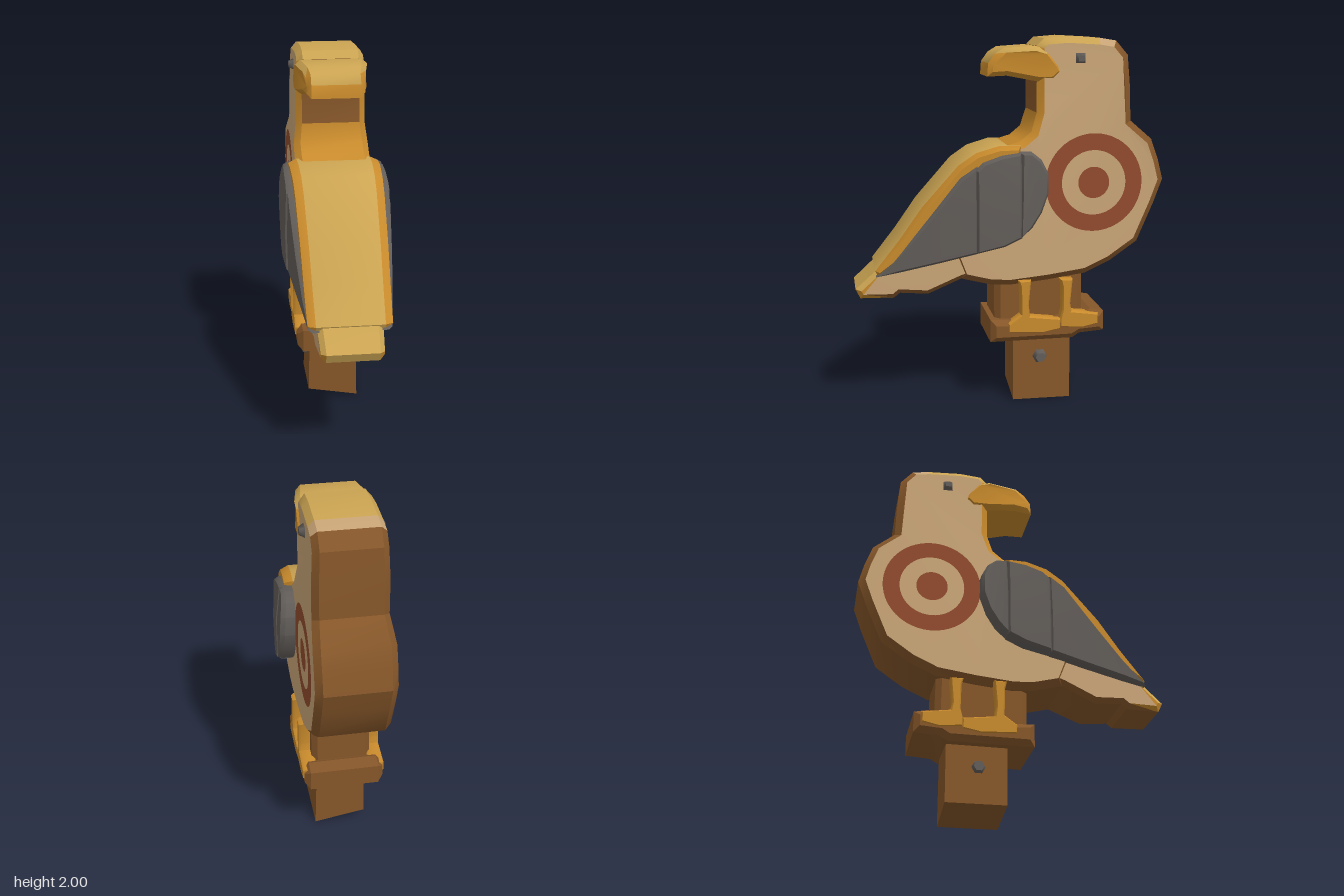
import * as THREE from 'three';
import { toCreasedNormals } from 'three/addons/utils/BufferGeometryUtils.js';

const colours = { cream: 0xc9a577, orange: 0xc88a2c, gold: 0xcba452, brown: 0x855629, grey: 0x625d59, red: 0x914b2d };

export function createModel() {
  const group = new THREE.Group();
  const names = Object.keys(colours);
  const mats = names.map((name) => {
    const m = new THREE.MeshStandardMaterial({ color: colours[name] });
    m.name = name;
    return m;
  });
  const mat = (name) => mats[names.indexOf(name)];

  function add(name, geo, material, x = 0, y = 0, z = 0) {
    const mesh = new THREE.Mesh(geo, material);
    mesh.name = name;
    mesh.position.set(x, y, z);
    group.add(mesh);
    return mesh;
  }

  // Sawn board: a side profile of [z, y] points, spread across x with bevelled rims.
  // width(z, y) scales x; paint(normal, centre) picks a colour for each face.
  function board(name, profile, half, { bevelX = 0.03, bevel = 0.03, x = 0, width, paint }) {
    const shape = new THREE.Shape(profile.map(([z, y]) => new THREE.Vector2(z, y)));
    const depth = 2 * (half - bevelX);
    let geo = new THREE.ExtrudeGeometry(shape, {
      depth, bevelEnabled: true, bevelThickness: bevelX, bevelSize: bevel, bevelOffset: -bevel, bevelSegments: 1,
    });
    geo.translate(0, 0, -depth / 2).rotateY(-Math.PI / 2);
    const p = geo.attributes.position;
    if (width) for (let i = 0; i < p.count; i++) p.setX(i, p.getX(i) * width(p.getZ(i), p.getY(i)));
    geo.computeVertexNormals();
    geo.clearGroups();
    const n = new THREE.Vector3(), c = new THREE.Vector3(), v = new THREE.Vector3();
    const picks = [];
    for (let i = 0; i < p.count; i += 3) {
      n.fromBufferAttribute(geo.attributes.normal, i);
      c.set(0, 0, 0);
      for (let k = 0; k < 3; k++) c.add(v.fromBufferAttribute(p, i + k));
      c.divideScalar(3);
      picks.push(typeof paint === 'string' ? paint : paint(n, c));
    }
    geo = toCreasedNormals(geo, 0.6);
    geo.clearGroups();
    for (let i = 0, from = 0; i < picks.length; i++) {
      if (picks[i + 1] === picks[i]) continue;
      geo.addGroup(from * 3, (i + 1 - from) * 3, names.indexOf(picks[i]));
      from = i + 1;
    }
    return add(name, geo, typeof paint === 'string' ? mat(paint) : mats, x);
  }

  // Body, neck and head
  board('body', [
    [-0.14, 1.95], [-0.18, 1.99], [-0.3, 2], [-0.48, 1.99], [-0.57, 1.975], [-0.635, 1.9], [-0.65, 1.72],
    [-0.655, 1.55], [-0.77, 1.45], [-0.81, 1.34], [-0.838, 1.23], [-0.79, 1.1], [-0.7, 0.89], [-0.55, 0.785],
    [-0.41, 0.72], [-0.2, 0.69], [0, 0.67], [0.11, 0.675], [0.27, 0.715], [0.34, 0.9], [0.33, 1.25],
    [0.19, 1.38], [-0.05, 1.45], [-0.11, 1.5], [-0.14, 1.6], [-0.14, 1.76],
  ], 0.205, {
    bevelX: 0.035, bevel: 0.035,
    width: (z, y) => (y > 1.85 ? 0.89 : y > 1.52 ? 0.93 : 1),
    paint: (n, c) => {
      if (Math.abs(n.x) > 0.9) return 'cream';
      if (c.y > 1.92 && c.z > -0.48) return 'gold';
      if (c.y > 1.95 && c.z > -0.57) return 'cream';
      if (c.z > -0.2 && c.y > 1.36) return c.y < 1.6 || Math.abs(n.x) > 0.4 ? 'orange' : 'brown';
      return 'brown';
    },
  });

  // Tail
  board('tail', [
    [0.2, 0.74], [0.27, 0.715], [0.45, 0.635], [0.6, 0.645], [0.63, 0.62], [0.81, 0.62],
    [0.835, 0.67], [0.72, 0.775], [0.5, 1.03], [0.3, 1.25], [0.1, 1.2],
  ], 0.2, {
    bevelX: 0.03, bevel: 0.025,
    width: (z) => 1 - Math.max(0, z - 0.25) * 0.36,
    paint: (n, c) => {
      if (Math.abs(n.x) > 0.8) return c.z > 0.76 ? 'orange' : 'cream';
      if (n.y > 0.2 || n.z > 0.8) return 'gold';
      return c.z > 0.7 && Math.abs(n.x) > 0.3 ? 'orange' : 'brown';
    },
  });

  // Broad sloping back above the folded wings
  board('back', [
    [-0.05, 1.43], [0.07, 1.43], [0.19, 1.395], [0.285, 1.33], [0.48, 1.11], [0.6, 0.94], [0.73, 0.775],
    [0.715, 0.745], [0.4, 0.98], [0.15, 1.26], [-0.04, 1.34],
  ], 0.245, {
    bevelX: 0.045, bevel: 0.02,
    width: (z) => 1 - Math.max(0, z) * 0.17,
    paint: (n) => (Math.abs(n.x) > 0.25 ? 'orange' : 'gold'),
  });

  // Wings in three overlapping feather panels, each running through to both sides
  const wingWidth = (z, y) => (1 - Math.max(0, z - 0.1) * 0.36) - Math.max(0, y - 1.25) * 0.5 - Math.max(0, 0.95 - y) * 0.18;
  [
    [0.29, [[-0.04, 1.4], [-0.1, 1.4], [-0.15, 1.36], [-0.185, 1.29], [-0.185, 1.18], [-0.15, 1.08], [-0.1, 1], [-0.035, 0.94], [-0.035, 1.2]]],
    [0.292, [[-0.045, 1.4], [0.06, 1.385], [0.16, 1.35], [0.2, 1.31], [0.2, 1.08], [0.2, 0.865], [0.05, 0.9], [-0.045, 0.945], [-0.045, 1.2]]],
    [0.285, [[0.19, 1.33], [0.28, 1.27], [0.455, 1.05], [0.6, 0.88], [0.727, 0.745], [0.6, 0.77], [0.4, 0.815], [0.19, 0.865], [0.19, 1.08]]],
  ].forEach(([half, profile], i) => board('wingPanel' + (i + 1), profile, half, {
    bevelX: 0.025, bevel: 0.014, width: wingWidth, paint: 'grey',
  }));

  // Hooked beak
  board('beak', [
    [0.12, 1.79], [0.115, 1.86], [0.08, 1.91], [0.03, 1.94], [-0.13, 1.95], [-0.2, 1.93], [-0.265, 1.85],
    [-0.275, 1.81], [-0.23, 1.765], [-0.14, 1.765], [0.02, 1.795],
  ], 0.195, {
    bevelX: 0.03, bevel: 0.025,
    width: (z) => (z > 0.06 ? 0.79 : z > -0.05 ? 0.86 : 1),
    paint: (n) => (n.y > 0.5 ? 'gold' : 'orange'),
  });

  // Support block, perch and post
  board('supportBlock', [[0.085, 0.44], [0.085, 0.74], [-0.4, 0.76], [-0.405, 0.44]], 0.16, { paint: 'brown' });
  board('perch', [
    [0.115, 0.355], [0.115, 0.48], [0, 0.475], [-0.38, 0.49], [-0.44, 0.52], [-0.515, 0.505],
    [-0.515, 0.395], [-0.38, 0.385], [-0.34, 0.36],
  ], 0.215, { paint: 'brown' });

  const post = new THREE.BoxGeometry(0.26, 0.44, 0.32);
  const pp = post.attributes.position;
  for (let i = 0; i < pp.count; i++) {
    if (pp.getY(i) > 0) continue;
    const left = pp.getX(i) > 0;
    pp.setXYZ(i, left ? 0.14 : -0.14, left ? -0.22 : -0.17, pp.getZ(i));
  }
  post.computeVertexNormals();
  add('post', post, mat('brown'), -0.005, 0.22, -0.18);

  // Parts repeated on each side
  for (const s of [1, -1]) {
    const side = s > 0 ? 'left' : 'right';

    // Legs with their feet
    [[-0.07, 0, 0.09, -0.2], [-0.3, 0.02, 0.035, -0.18]].forEach(([z, y, heel, toe], i) => {
      board(side + 'Leg' + (i + 1), [
        [z + 0.025, 0.66], [z + 0.022, 0.51 + y], [z + heel, 0.46 + y], [z + heel, 0.41 + y],
        [z + toe * 0.5, 0.4 + y], [z + toe, 0.42 + y], [z + toe, 0.48 + y], [z - 0.03, 0.5 + y],
        [z - 0.022, 0.56], [z - 0.035, 0.7], [z + 0.035, 0.7],
      ], 0.04, { bevelX: 0.012, bevel: 0.008, x: s * 0.182, paint: 'orange' });
    });

    // Painted target
    const ring = new THREE.RingGeometry(0.175, 0.265, 48).rotateY(s * Math.PI / 2);
    const dot = new THREE.CircleGeometry(0.085, 32).rotateY(s * Math.PI / 2);
    add(side + 'TargetRing', ring, mat('red'), s * 0.209, 1.225, -0.445);
    add(side + 'TargetDot', dot, mat('red'), s * 0.209, 1.225, -0.445);

    // Eye and post bolt
    const eye = new THREE.CylinderGeometry(0.022, 0.045, 0.04, 4).rotateY(Math.PI / 4).rotateZ(-s * Math.PI / 2);
    add(side + 'Eye', eye, mat('grey'), s * 0.19, 1.885, -0.37);
    const bolt = new THREE.CylinderGeometry(0.028, 0.05, 0.06, 6).rotateZ(-s * Math.PI / 2);
    add(side + 'Bolt', bolt, mat('grey'), s * 0.135, 0.245, -0.17);
  }

  return group;
}
